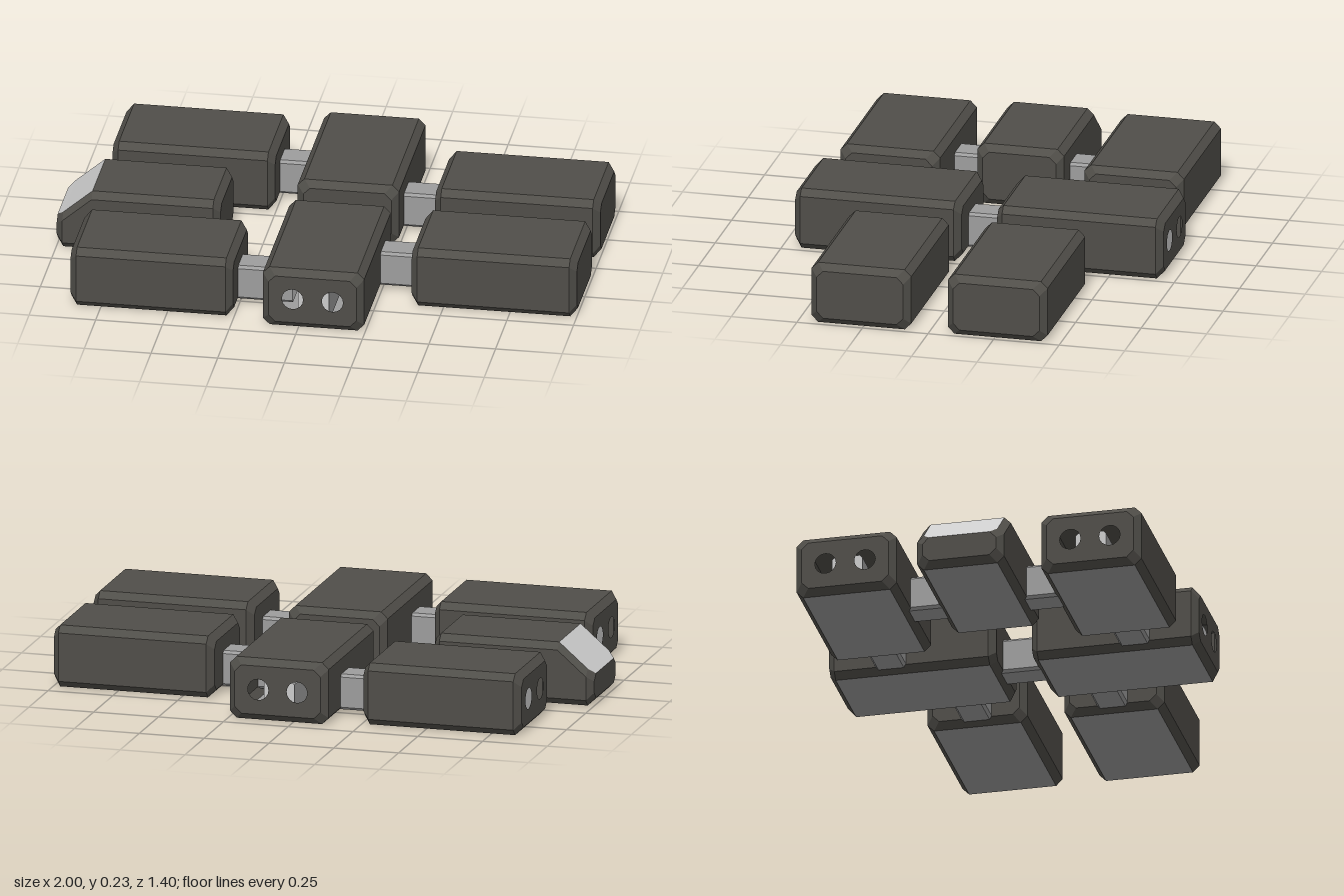
import * as THREE from 'three';

const C = 0.025;   // chamfer
const H = 0.235;   // block height
const mat = (color) => new THREE.MeshStandardMaterial({ color, flatShading: true, side: THREE.DoubleSide });

// Chamfered cross-section, counter-clockwise, bottom edge first
function octagon(w, bottom, top, c) {
  return [[-w + c, bottom], [w - c, bottom], [w, bottom + c], [w, top - c],
    [w - c, top], [-w + c, top], [-w, top - c], [-w, bottom + c]];
}

// Skin between sections {z, pts}; pick(section, edge) chooses which faces to keep
function skin(sections, pick) {
  const pos = [];
  for (let i = 0; i < sections.length - 1; i++) {
    const s = sections[i], t = sections[i + 1];
    for (let j = 0; j < 8; j++) {
      if (!pick(i, j)) continue;
      const k = (j + 1) % 8;
      const a = [...s.pts[j], s.z], b = [...s.pts[k], s.z];
      const c = [...t.pts[k], t.z], d = [...t.pts[j], t.z];
      pos.push(...a, ...b, ...c, ...a, ...c, ...d);
    }
  }
  const g = new THREE.BufferGeometry();
  g.setAttribute('position', new THREE.Float32BufferAttribute(pos, 3));
  g.computeVertexNormals();
  return g;
}

// Flat end cap, optionally with a pair of round holes
function cap(section, facing, holes) {
  const shape = new THREE.Shape(section.pts.map(([x, y]) => new THREE.Vector2(x * facing, y)));
  if (holes) {
    for (const x of [-0.075, 0.075]) {
      shape.holes.push(new THREE.Path().absarc(x, 0.12, 0.04, 0, Math.PI * 2, true));
    }
  }
  const g = new THREE.ShapeGeometry(shape, 8);
  if (facing < 0) g.rotateY(Math.PI);
  return g.translate(0, 0, section.z);
}

export function createModel() {
  const root = new THREE.Group();
  const dark = mat(0x504e49), grey = mat(0x9d9d9d), pale = mat(0xcccccc);

  const add = (parent, name, geometry, material) => {
    const m = new THREE.Mesh(geometry, material);
    m.name = name;
    parent.add(m);
  };

  // Block lying along local z; its outer end is +z
  function block(name, x, z, width, length, angle, { holes = false, nose = false } = {}) {
    const w = width / 2, l = length / 2;
    const at = (p, inset, top = H) => ({ z: p, pts: octagon(w - inset, inset, top - inset, C) });
    const sections = [at(-l, C), at(-l + C, 0)];
    if (nose) sections.push(at(l - 0.135, 0), at(l - C, 0, 0.14), at(l, C, 0.144));
    else sections.push(at(l - C, 0), at(l, C));
    const last = sections.length - 1;
    const isBase = (i, j) => j === 0 && i > 0 && i < last - 1;
    const isNose = (i, j) => nose && j === 4 && i >= 2;

    const g = new THREE.Group();
    g.name = name;
    g.position.set(x, 0, z);
    g.rotation.y = angle;
    add(g, 'shell', skin(sections, (i, j) => !isBase(i, j) && !isNose(i, j)), dark);
    add(g, 'base', skin(sections, isBase), grey);
    if (nose) add(g, 'noseSlope', skin(sections, isNose), pale);
    add(g, 'innerEnd', cap(sections[0], -1, false), dark);
    add(g, 'outerEnd', cap(sections[last], 1, holes), dark);
    root.add(g);
  }

  // Connecting bar from a to b along one axis
  function bar(name, along, a, b, across) {
    const l = (b - a) / 2, mid = (a + b) / 2;
    const s = [-l, l].map((z) => ({ z, pts: octagon(0.058, 0.017, 0.152, 0.01) }));
    const g = new THREE.Group();
    g.name = name;
    add(g, 'sides', skin(s, () => true), grey);
    add(g, 'endA', cap(s[0], -1), pale);
    add(g, 'endB', cap(s[1], 1), pale);
    if (along === 'x') {
      g.rotation.y = Math.PI / 2;
      g.position.set(mid, 0, across);
    } else g.position.set(across, 0, mid);
    root.add(g);
  }

  // Mirrored blocks and bars on the back (-1) and front (+1)
  for (const s of [-1, 1]) {
    const side = s < 0 ? 'back' : 'front';
    block(side + 'RightBlock', -0.56, s * 0.465, 0.38, 0.61, -Math.PI / 2, { holes: true });
    block(side + 'MiddleBlock', 0.055, s * 0.385, 0.38, 0.635, s < 0 ? Math.PI : 0, { holes: true });
    block(side + 'LeftBlock', 0.69, s * 0.26, 0.38, 0.62, Math.PI / 2);
    bar(side + 'RightBar', 'x', -0.84, -0.05, s * 0.463);
    bar(side + 'LeftBar', 'x', 0.2, 0.5, s * 0.258);
    bar(side + 'NoseBar', 'z', s < 0 ? -0.36 : 0.1, s < 0 ? -0.1 : 0.36, -0.555);
  }
  block('noseBlock', -0.6925, 0, 0.33, 0.615, -Math.PI / 2, { nose: true });
  bar('centreBar', 'z', -0.68, 0.68, 0.055);

  return root;
}
